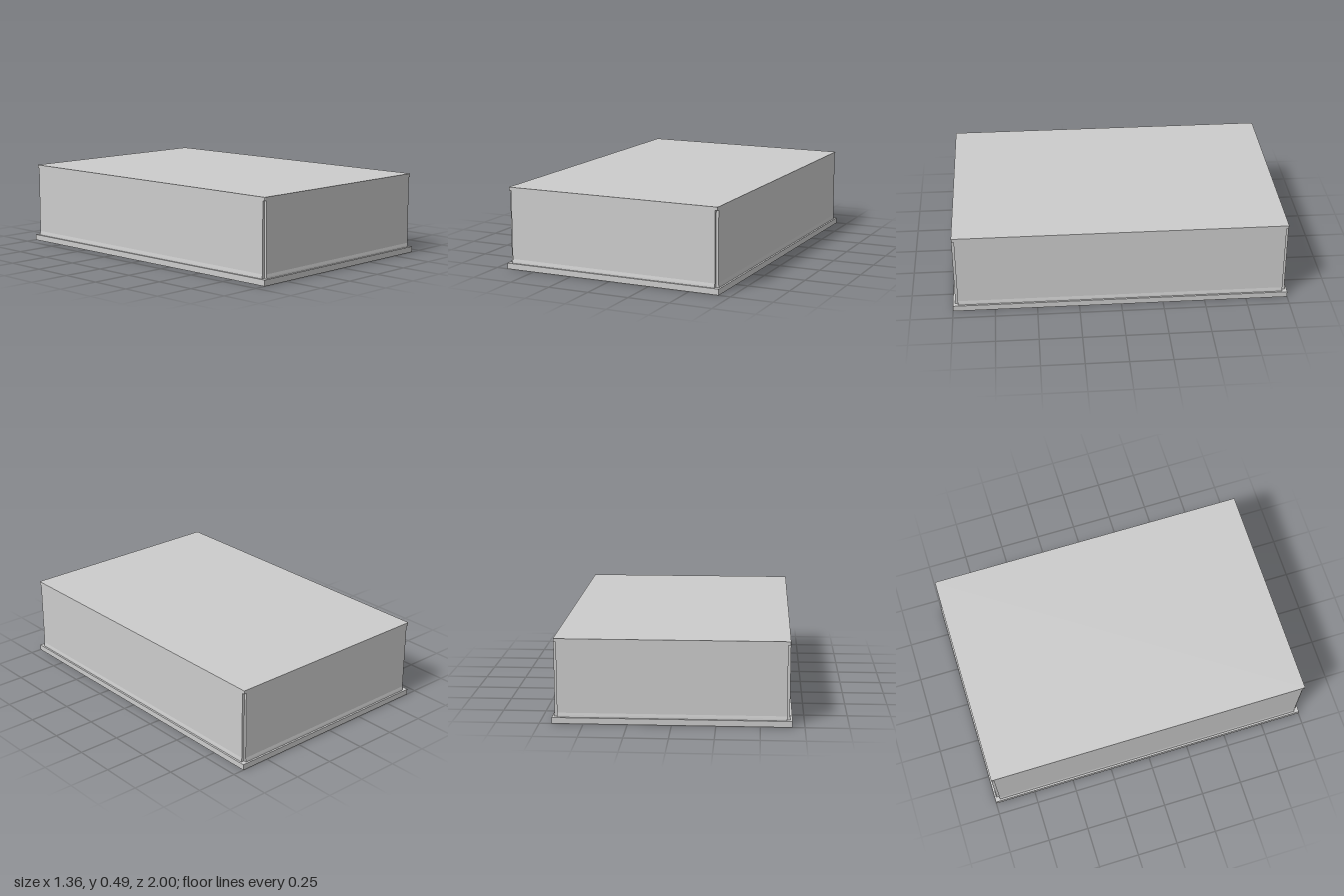
import * as THREE from 'three';

const material = new THREE.MeshStandardMaterial({ color: 0xcccccc, flatShading: true });

const HALF_X = 0.665, HALF_Z = 0.985;   // outer faces of the cover
const BASE_H = 0.035, RIM_Y = 0.47, TOP_Y = 0.49;
const THICK = 0.015;                    // sheet thickness and corner notch

// Side wall: a thin sheet with a slightly flared foot, extruded along its length
function wall(name, offset, halfLength, angle) {
  const shape = new THREE.Shape([
    [-THICK, BASE_H], [0.004, BASE_H], [0.003, 0.045], [0, 0.06], [0, RIM_Y], [-THICK, RIM_Y],
  ].map(([x, y]) => new THREE.Vector2(x + offset, y)));
  const depth = 2 * halfLength;
  const geometry = new THREE.ExtrudeGeometry(shape, { depth, bevelEnabled: false });
  geometry.translate(0, 0, -halfLength);
  const mesh = new THREE.Mesh(geometry, material);
  mesh.name = name;
  mesh.rotation.y = angle;
  return mesh;
}

// Top sheet with small rounded corners
function topSheet() {
  const r = 0.006, s = new THREE.Shape();
  s.absarc(HALF_X - r, HALF_Z - r, r, 0, Math.PI / 2);
  s.absarc(-HALF_X + r, HALF_Z - r, r, Math.PI / 2, Math.PI);
  s.absarc(-HALF_X + r, -HALF_Z + r, r, Math.PI, Math.PI * 1.5);
  s.absarc(HALF_X - r, -HALF_Z + r, r, Math.PI * 1.5, Math.PI * 2);
  const geometry = new THREE.ExtrudeGeometry(s, { depth: TOP_Y - RIM_Y, bevelEnabled: false, curveSegments: 4 });
  geometry.rotateX(-Math.PI / 2);
  geometry.translate(0, RIM_Y, 0);
  const mesh = new THREE.Mesh(geometry, material);
  mesh.name = 'coverTop';
  return mesh;
}

export function createModel() {
  const model = new THREE.Group();
  model.name = 'coveredTray';

  // Base slab
  const base = new THREE.Mesh(new THREE.BoxGeometry(1.36, BASE_H, 2), material);
  base.name = 'base';
  base.position.y = BASE_H / 2;
  model.add(base);

  // Cover: top sheet and four walls that leave the corners notched
  const cover = new THREE.Group();
  cover.name = 'cover';
  cover.add(
    topSheet(),
    wall('leftWall', HALF_X, HALF_Z - THICK, 0),
    wall('rightWall', HALF_X, HALF_Z - THICK, Math.PI),
    wall('frontWall', HALF_Z, HALF_X - THICK, -Math.PI / 2),
    wall('backWall', HALF_Z, HALF_X - THICK, Math.PI / 2),
  );
  model.add(cover);
  return model;
}
